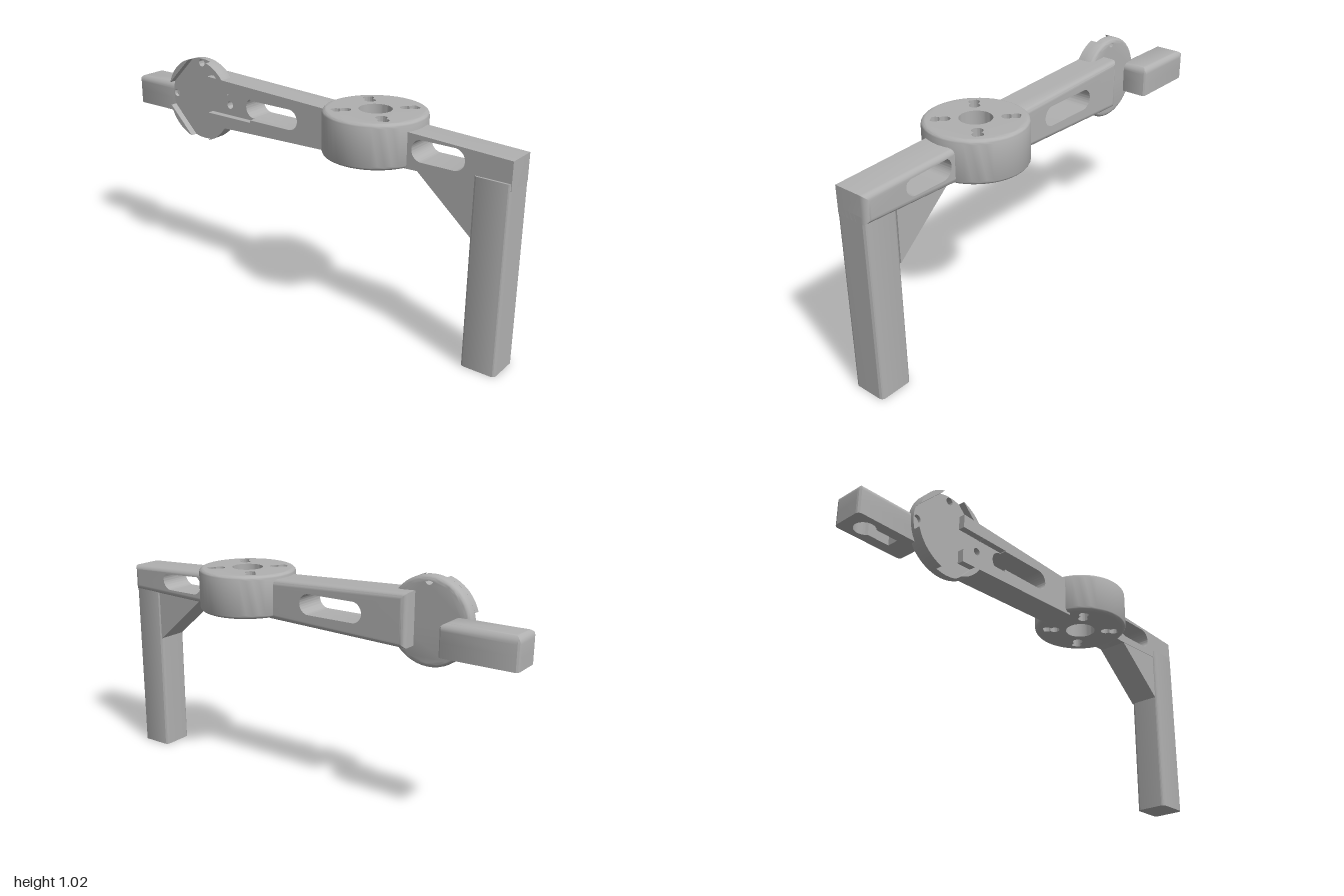
import * as THREE from 'three';
import { toCreasedNormals } from 'three/addons/utils/BufferGeometryUtils.js';

const BACK = -0.075, FRONT = 0.076, FLOOR = 0.046; // depth planes of the arm and the cross recess
const DISC = { x: -0.56, y: 0.838, r: 0.187 };
const HUB = { x: 0.355, r: 0.215 };
const SLOT_Y = 0.847, SLOT_R = 0.045;
const clamp = THREE.MathUtils.clamp;

// Cross-section levels [depth, inset] from a to b, with optional rounded ends
function levels(a, b, ra = 0, rb = 0) {
  const out = [], n = 5;
  if (ra) for (let i = 0; i < n; i++) {
    const t = (i / n) * Math.PI / 2;
    out.push([a + ra * (1 - Math.cos(t)), ra * (1 - Math.sin(t))]);
  }
  out.push([a + ra, 0], [b - rb, 0]);
  if (rb) for (let i = 1; i <= n; i++) {
    const t = (i / n) * Math.PI / 2;
    out.push([b - rb + rb * Math.sin(t), rb * (1 - Math.cos(t))]);
  }
  return out;
}

// Extrude a shape through the levels, pulling its outline in with the fit rule
function plate(shape, lv, fit) {
  const steps = lv.length - 1;
  const geo = new THREE.ExtrudeGeometry(shape, { depth: 1, steps, bevelEnabled: false, curveSegments: 24 });
  const p = geo.attributes.position;
  for (let i = 0; i < p.count; i++) {
    const [z, inset] = lv[Math.round(p.getZ(i) * steps)];
    const [x, y] = inset > 0 && fit ? fit(p.getX(i), p.getY(i), inset) : [p.getX(i), p.getY(i)];
    p.setXYZ(i, x, y, z);
  }
  return toCreasedNormals(geo, 0.55);
}

const polygon = (pts) => new THREE.Shape(pts.map(([x, y]) => new THREE.Vector2(x, y)));
const circle = (x, y, r) => new THREE.Path().absarc(x, y, r, 0, Math.PI * 2, true);
const radialFit = (r) => (x, y, i) => {
  const s = Math.min(1, (r - i) / Math.max(Math.hypot(x, y), 1e-6));
  return [x * s, y * s];
};
const boxFit = (x0, x1, y0, y1) => (x, y, i) => [clamp(x, x0 + i, x1 - i), clamp(y, y0 + i, y1 - i)];

function roundedRect(x0, x1, y0, y1, r) {
  const s = new THREE.Shape(), q = Math.PI / 2;
  s.absarc(x1 - r, y1 - r, r, 0, q);
  s.absarc(x0 + r, y1 - r, r, q, 2 * q);
  s.absarc(x0 + r, y0 + r, r, 2 * q, 3 * q);
  s.absarc(x1 - r, y0 + r, r, 3 * q, 4 * q);
  return s;
}

function slot(x0, x1) {
  const p = new THREE.Path(), q = Math.PI / 2;
  p.absarc(x1 - SLOT_R, SLOT_Y, SLOT_R, -q, q);
  p.absarc(x0 + SLOT_R, SLOT_Y, SLOT_R, q, 3 * q);
  p.closePath();
  return p;
}

// Tapering edges of the arm
const armTop = (x) => 0.936 - 0.0435 * x;
const armBottom = (x) => 0.747 + 0.029 * x;
const armFit = (x, y, i) => [clamp(x, -0.5 + i, 1 - i), clamp(y, armBottom(x) + i, armTop(x) - i)];
const armShape = (x0, x1) => polygon([[x0, armBottom(x0)], [x1, armBottom(x1)], [x1, armTop(x1)], [x0, armTop(x0)]]);

export function createModel() {
  const model = new THREE.Group();
  const grey = new THREE.MeshStandardMaterial({ color: 0xb0b0b0 });
  grey.name = 'grey';
  const add = (name, geo, parent = model) => {
    const m = new THREE.Mesh(geo, grey);
    m.name = name;
    parent.add(m);
    return m;
  };
  const upright = (geo) => geo.rotateX(-Math.PI / 2);

  // Long arm, left of the hub: solid back, bored middle, recessed front
  const longArm = new THREE.Group();
  longArm.name = 'longArm';
  model.add(longArm);
  const end = HUB.x - 0.17;
  const back = armShape(-0.5, end);
  back.holes.push(slot(-0.297, 0.013));
  add('longArmBack', plate(back, levels(BACK, 0, 0.025), armFit), longArm);
  const middle = armShape(-0.5, end);
  middle.holes.push(slot(-0.297, 0.013), circle(DISC.x + 0.167, DISC.y, 0.017));
  add('longArmMiddle', plate(middle, levels(0, FLOOR)), longArm);
  const face = new THREE.Shape();
  face.moveTo(-0.5, armBottom(-0.5));
  face.lineTo(end, armBottom(end));
  face.lineTo(end, armTop(end));
  face.lineTo(-0.5, armTop(-0.5));
  face.lineTo(-0.5, 0.896);
  face.lineTo(-0.25, 0.896);
  face.lineTo(-0.25, SLOT_Y + SLOT_R);
  face.absarc(0.013 - SLOT_R, SLOT_Y, SLOT_R, Math.PI / 2, -Math.PI / 2, true);
  face.lineTo(-0.25, SLOT_Y - SLOT_R);
  face.lineTo(-0.25, 0.791);
  face.lineTo(-0.5, 0.791);
  add('longArmFace', plate(face, levels(FLOOR, FRONT)), longArm);

  // Short arm, right of the hub
  const short = armShape(HUB.x + 0.17, 1);
  short.holes.push(slot(0.575, 0.807));
  add('shortArm', plate(short, levels(BACK, FRONT, 0.025), armFit));

  // Mounting disc: bored base with four raised quadrants leaving a cross recess
  const disc = new THREE.Group();
  disc.name = 'mountingDisc';
  disc.position.set(DISC.x, DISC.y, 0);
  model.add(disc);
  const base = new THREE.Shape().absarc(0, 0, DISC.r, 0, Math.PI * 2);
  for (const [x, y] of [[0, 0.167], [-0.167, 0], [0.167, 0]]) base.holes.push(circle(x, y, 0.017));
  add('discBase', plate(base, levels(0, FLOOR, 0.02), radialFit(DISC.r)), disc);
  const h = 0.054, a = Math.asin(h / DISC.r);
  for (let k = 0; k < 4; k++) {
    const q = new THREE.Shape();
    q.moveTo(h, h);
    q.absarc(0, 0, DISC.r, a, Math.PI / 2 - a);
    q.closePath();
    add('discQuadrant', plate(q, levels(FLOOR, FRONT)).rotateZ(k * Math.PI / 2), disc);
  }

  // Round hub with a bore and four double screw holes
  const hub = new THREE.Shape().absarc(0, 0, HUB.r, 0, Math.PI * 2);
  hub.holes.push(circle(0, 0, 0.068));
  const half = Math.acos(0.0185 / 0.023);
  for (let k = 0; k < 4; k++) {
    const t = Math.PI / 4 + k * Math.PI / 2, p = new THREE.Path();
    const c = Math.cos(t), s = Math.sin(t);
    p.absarc(0.159 * c, 0.159 * s, 0.023, t - Math.PI + half, t + Math.PI - half);
    p.absarc(0.122 * c, 0.122 * s, 0.023, t + half, t + 2 * Math.PI - half);
    p.closePath();
    hub.holes.push(p);
  }
  add('hub', upright(plate(hub, levels(0.762, 0.95, 0.018, 0.018), radialFit(HUB.r)))).position.x = HUB.x;

  // Leg and its gusset
  add('leg', upright(plate(roundedRect(0.848, 1, -0.085, 0.066, 0.018), levels(0, 0.805))));
  add('gusset', plate(polygon([[0.85, 0.55], [0.85, 0.8], [0.56, 0.8]]), levels(-0.064, 0.073)));

  // End block: keyhole pocket underneath, rounded top
  const rect = [-1, -0.67, -0.03, 0.118];
  const lower = roundedRect(...rect, 0.018);
  const key = new THREE.Path(), cy = 0.044, w = 0.026, ka = Math.asin(w / 0.045);
  key.absarc(-0.91, cy, 0.045, ka, 2 * Math.PI - ka);
  key.lineTo(-0.77, cy - w);
  key.lineTo(-0.77, cy + w);
  key.closePath();
  lower.holes.push(key);
  add('endBlockBase', upright(plate(lower, levels(0.742, 0.8))));
  add('endBlockTop', upright(plate(roundedRect(...rect, 0.018), levels(0.8, 0.877, 0, 0.03), boxFit(...rect))));

  return model;
}
